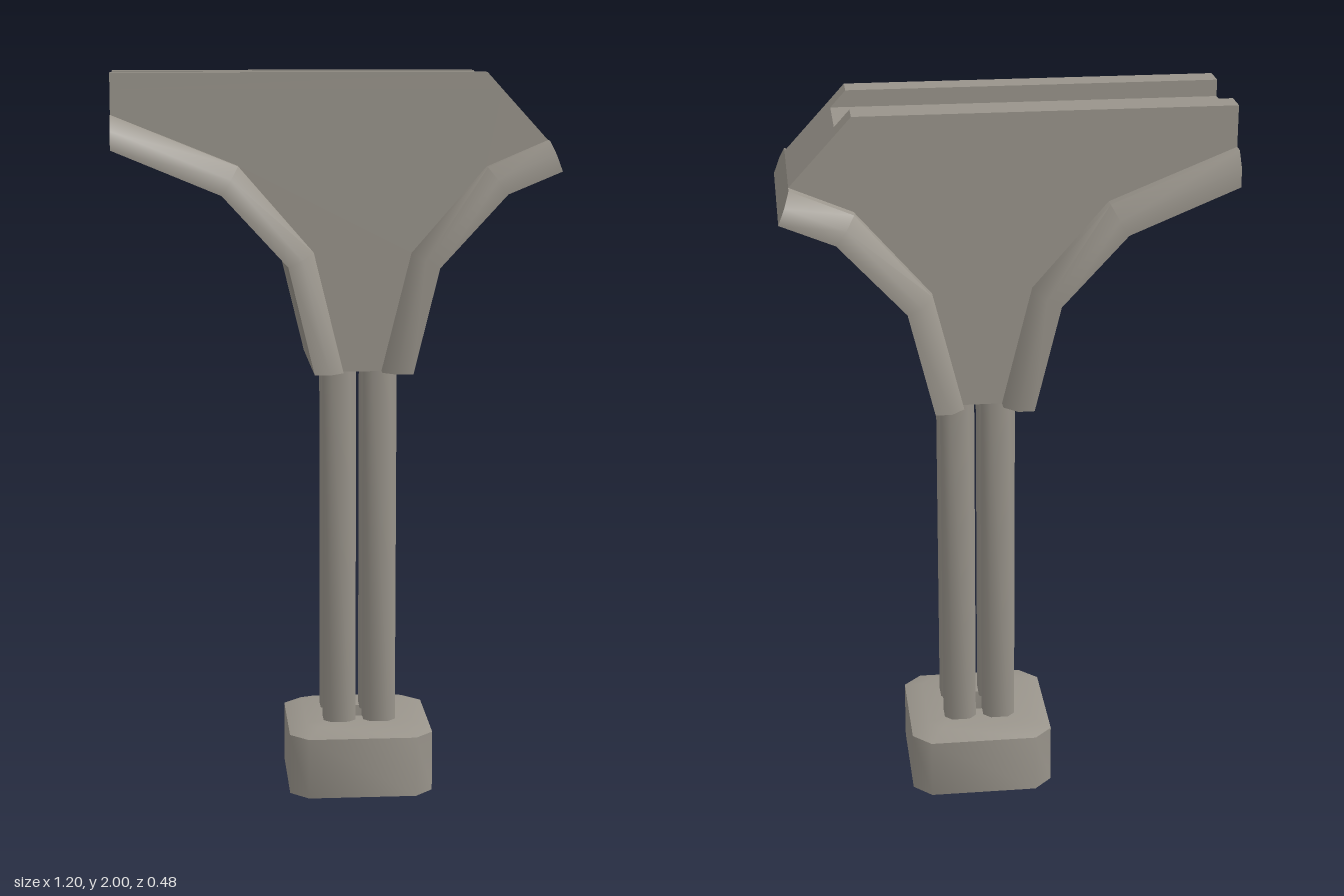
import * as THREE from 'three';
import { toCreasedNormals } from 'three/addons/utils/BufferGeometryUtils.js';

const stone = new THREE.MeshStandardMaterial({ color: 0x99948b, side: THREE.DoubleSide });
stone.name = 'warm grey';

// Skins a row of equal-length rings of [x, y, z] points
function loft(rings, capped) {
  const n = rings[0].length, last = rings.length - 1, pos = [];
  const tri = (...pts) => pts.forEach(p => pos.push(...p));
  for (let i = 0; i < last; i++) {
    for (let k = 0; k < n; k++) {
      const a = rings[i][k], b = rings[i + 1][k];
      const c = rings[i + 1][(k + 1) % n], d = rings[i][(k + 1) % n];
      tri(a, b, c);
      tri(a, c, d);
    }
  }
  if (capped) {
    for (let k = 1; k < n - 1; k++) {
      tri(rings[0][0], rings[0][k], rings[0][k + 1]);
      tri(rings[last][0], rings[last][k + 1], rings[last][k]);
    }
  }
  const g = new THREE.BufferGeometry();
  g.setAttribute('position', new THREE.Float32BufferAttribute(pos, 3));
  return toCreasedNormals(g, 0.9);
}

// Square ring with cut corners, lying flat at height y
function cutSquare(cx, cz, y, half, cut) {
  const e = half - cut;
  return [[half, -e], [half, e], [e, half], [-e, half], [-half, e], [-half, -e], [-e, -half], [e, -half]]
    .map(([x, z]) => [cx + x, y, cz + z]);
}

// Side profile extruded between two z values
function slab(points, z0, z1) {
  const shape = new THREE.Shape(points.map(p => new THREE.Vector2(...p)));
  return new THREE.ExtrudeGeometry(shape, { depth: z1 - z0, bevelEnabled: false }).translate(0, 0, z0);
}

// Curved flange: outer and inner edge lines, bevelled toward the inner edge
function flange(outer, inner) {
  const section = [[-0.24, 0], [0.24, 0], [0.24, 0.55], [0.205, 1], [-0.205, 1], [-0.24, 0.55]];
  return loft(outer.map(([ox, oy], i) => section.map(([z, t]) => [
    ox + (inner[i][0] - ox) * t, oy + (inner[i][1] - oy) * t, z])), true);
}

export function createModel() {
  const model = new THREE.Group();
  const add = (name, geometry) => {
    const mesh = new THREE.Mesh(geometry, stone);
    mesh.name = name;
    model.add(mesh);
  };
  const cx = 0.07;

  // Hollow foot, open underneath
  add('foot', loft([
    cutSquare(cx, 0, 0, 0.2, 0.05),
    cutSquare(cx, 0, 0.17, 0.2, 0.05),
    cutSquare(cx, 0, 0.19, 0.15, 0.035),
    cutSquare(cx, 0, 0.19, 0.05, 0.012),
  ], false));

  // Cluster of four columns
  for (const sx of [-1, 1]) {
    for (const sz of [-1, 1]) {
      const x = cx + sx * 0.056, z = sz * 0.06;
      add('column', loft([cutSquare(x, z, 0.185, 0.045, 0.02), cutSquare(x, z, 1.2, 0.045, 0.02)], true));
    }
  }

  // Bracket body between the two flanges
  const leftInner = [[-0.6, 1.89], [-0.265, 1.755], [-0.065, 1.525], [0.015, 1.2]];
  const leftOuter = [[-0.6, 1.8], [-0.31, 1.68], [-0.135, 1.49], [-0.065, 1.2]];
  const rightInner = [[0.12, 1.2], [0.2, 1.52], [0.4, 1.75], [0.565, 1.82]];
  const rightOuter = [[0.2, 1.2], [0.27, 1.485], [0.45, 1.68], [0.595, 1.74]];
  add('bracketBody', slab([[0.441, 1.955], [-0.6, 1.955], ...leftInner, ...rightInner], -0.174, 0.174));

  // Rails either side of the top channel
  const rail = [[-0.6, 1.955], [0.441, 1.955], [0.4, 2], [-0.6, 2]];
  add('frontRail', slab(rail, 0.1, 0.174));
  add('backRail', slab(rail, -0.174, -0.1));

  // Flanges under each arm
  add('longFlange', flange(leftOuter, leftInner));
  add('shortFlange', flange(rightOuter, rightInner));
  return model;
}
